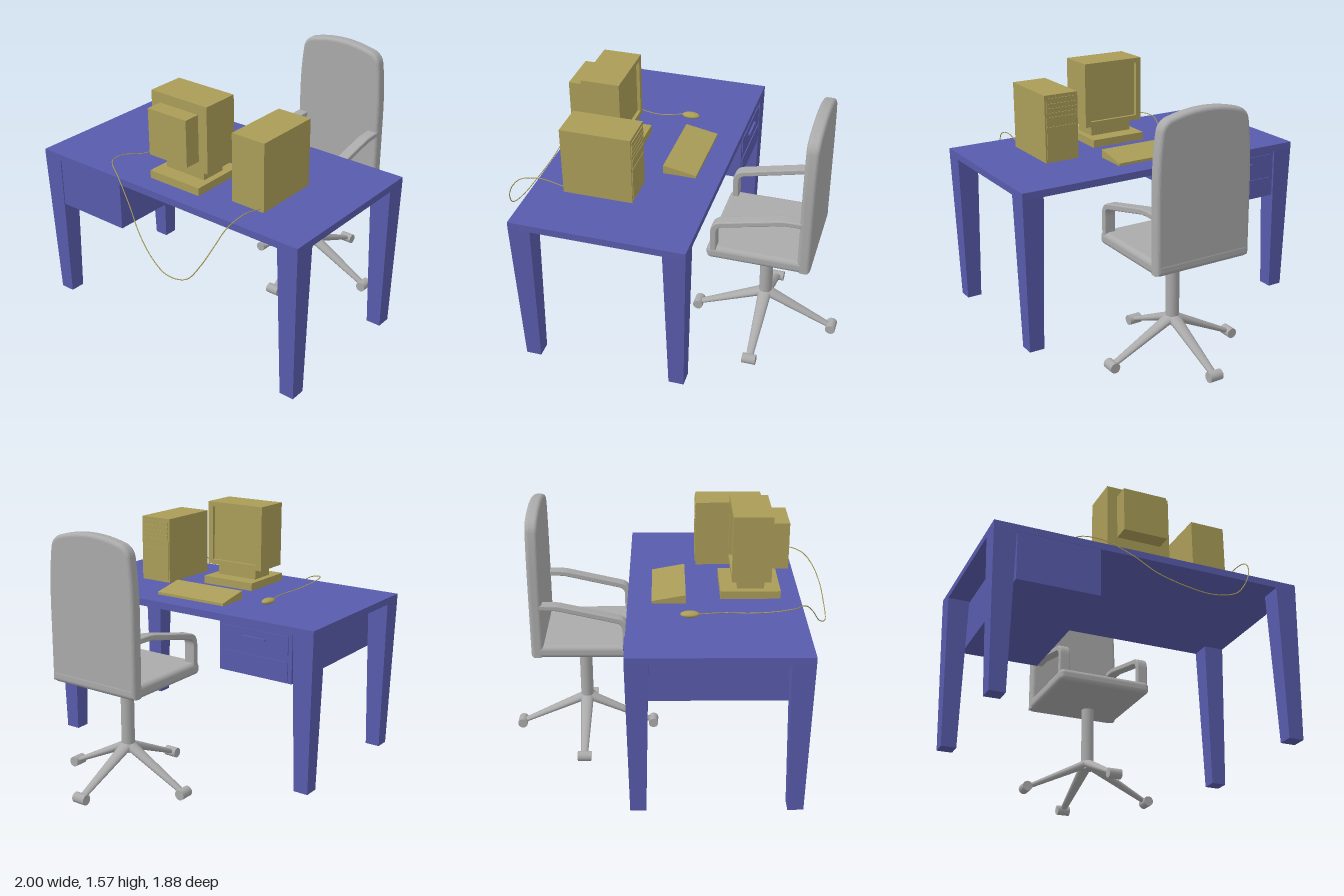
import * as THREE from 'three';
import { RoundedBoxGeometry } from 'three/addons/geometries/RoundedBoxGeometry.js';

const material = (name, color) => {
  const m = new THREE.MeshStandardMaterial({ color });
  m.name = name;
  return m;
};

export function createModel() {
  const blue = material('deskBlue', 0x585bac);
  const gold = material('computerGold', 0xaa9d58);
  const grey = material('chairGrey', 0xaaaaaa);
  const model = new THREE.Group();
  model.name = 'computerDesk';

  const group = (name) => {
    const g = new THREE.Group();
    g.name = name;
    model.add(g);
    return g;
  };
  const add = (parent, name, geometry, mat) => {
    const mesh = new THREE.Mesh(geometry, mat);
    mesh.name = name;
    parent.add(mesh);
    return mesh;
  };
  // Box given by its limits on each axis
  const box = (parent, name, mat, x0, x1, y0, y1, z0, z1) => {
    const mesh = add(parent, name, new THREE.BoxGeometry(x1 - x0, y1 - y0, z1 - z0), mat);
    mesh.position.set((x0 + x1) / 2, (y0 + y1) / 2, (z0 + z1) / 2);
    return mesh;
  };

  // Desk: top, tapered legs, drawer cabinet
  const desk = group('desk');
  box(desk, 'deskTop', blue, -0.762, 0.256, 1.02, 1.062, -0.94, 0.94);
  for (const x of [-0.697, 0.191]) {
    for (const z of [-0.875, 0.875]) {
      const geo = new THREE.BoxGeometry(0.13, 0.935, 0.13);
      const p = geo.attributes.position;
      for (let i = 0; i < p.count; i++) {
        if (p.getY(i) < 0) p.setXYZ(i, p.getX(i) * 0.7, p.getY(i), p.getZ(i) * 0.7);
      }
      geo.computeVertexNormals();
      add(desk, 'deskLeg', geo, blue).position.set(x, 0.5525, z);
    }
  }
  box(desk, 'drawerCabinet', blue, -0.76, 0.25, 0.73, 1.02, -0.805, -0.32);
  box(desk, 'upperDrawer', blue, 0.25, 0.256, 0.895, 1.005, -0.78, -0.34);
  box(desk, 'lowerDrawer', blue, 0.25, 0.256, 0.742, 0.855, -0.78, -0.34);
  box(desk, 'drawerHandle', blue, 0.25, 0.27, 0.951, 0.964, -0.635, -0.48);

  // Monitor: base, neck, case with recessed screen
  const monitor = group('monitor');
  box(monitor, 'monitorBase', gold, -0.645, -0.29, 1.062, 1.11, -0.18, 0.18);
  box(monitor, 'monitorNeck', gold, -0.55, -0.39, 1.11, 1.18, -0.14, 0.14);
  box(monitor, 'monitorCase', gold, -0.585, -0.375, 1.177, 1.577, -0.203, 0.197);
  box(monitor, 'monitorBack', gold, -0.685, -0.585, 1.238, 1.517, -0.14, 0.135);
  box(monitor, 'frameTop', gold, -0.375, -0.355, 1.548, 1.577, -0.203, 0.197);
  box(monitor, 'frameBottom', gold, -0.375, -0.355, 1.177, 1.208, -0.203, 0.197);
  box(monitor, 'frameRight', gold, -0.375, -0.355, 1.208, 1.548, -0.203, -0.168);
  box(monitor, 'frameLeft', gold, -0.375, -0.355, 1.208, 1.548, 0.162, 0.197);

  // Tower with drive bays
  const tower = group('tower');
  box(tower, 'towerCase', gold, -0.573, -0.16, 1.062, 1.472, 0.36, 0.578);
  for (const [y0, y1] of [[1.425, 1.452], [1.397, 1.42], [1.37, 1.392], [1.343, 1.365], [1.285, 1.338], [1.08, 1.28]]) {
    box(tower, 'towerPanel', gold, -0.16, -0.155, y0, y1, 0.37, 0.568);
  }

  // Keyboard wedge
  const keyShape = new THREE.Shape([[-0.085, 1.062], [0.115, 1.062], [0.115, 1.078], [-0.085, 1.115]]
    .map(([x, y]) => new THREE.Vector2(x, y)));
  add(model, 'keyboard', new THREE.ExtrudeGeometry(keyShape, { depth: 0.485, bevelEnabled: false }), gold)
    .position.z = -0.245;

  // Mouse and its hanging cable
  const mouse = add(model, 'mouse', new THREE.SphereGeometry(1, 20, 12), gold);
  mouse.scale.set(0.056, 0.018, 0.032);
  mouse.position.set(-0.105, 1.075, -0.42);
  const cablePath = new THREE.CatmullRomCurve3([
    [-0.155, 1.075, -0.42], [-0.3, 1.068, -0.387], [-0.45, 1.075, -0.41], [-0.6, 1.105, -0.455],
    [-0.7, 1.11, -0.43], [-0.775, 1.075, -0.31], [-0.845, 0.97, -0.16], [-0.9, 0.86, -0.04],
    [-0.96, 0.775, 0.12], [-0.99, 0.745, 0.25], [-0.995, 0.78, 0.39], [-0.975, 0.88, 0.47],
    [-0.92, 1.0, 0.525], [-0.85, 1.075, 0.545], [-0.72, 1.11, 0.558], [-0.58, 1.085, 0.56],
  ].map((p) => new THREE.Vector3(...p)));
  add(model, 'mouseCable', new THREE.TubeGeometry(cablePath, 120, 0.003, 6), gold);

  // Chair: seat and backrest
  const chair = group('chair');
  const cx = 0.54, cz = 0.142;
  add(chair, 'seat', new RoundedBoxGeometry(0.615, 0.08, 0.615, 4, 0.03), grey).position.set(0.54, 0.702, cz - 0.002);
  const back = new THREE.Shape();
  back.moveTo(-0.285, 0.69);
  back.lineTo(0.285, 0.69);
  back.lineTo(0.285, 1.1);
  back.quadraticCurveTo(0.285, 1.32, 0.262, 1.46);
  back.quadraticCurveTo(0.255, 1.495, 0.22, 1.51);
  back.quadraticCurveTo(0, 1.575, -0.22, 1.51);
  back.quadraticCurveTo(-0.255, 1.495, -0.262, 1.46);
  back.quadraticCurveTo(-0.285, 1.32, -0.285, 1.1);
  const backGeo = new THREE.ExtrudeGeometry(back, {
    depth: 0.03, bevelThickness: 0.023, bevelSize: 0.022, bevelSegments: 5, curveSegments: 12,
  });
  const backrest = add(chair, 'backrest', backGeo, grey);
  backrest.rotation.y = Math.PI / 2;
  backrest.position.set(0.793, 0, cz - 0.002);

  // Armrests: bent bands on both sides
  const arm = new THREE.Shape();
  arm.moveTo(0.262, 0.72);
  arm.lineTo(0.262, 0.85);
  arm.quadraticCurveTo(0.262, 0.908, 0.315, 0.92);
  arm.lineTo(0.66, 0.999);
  arm.quadraticCurveTo(0.69, 1.005, 0.79, 1.005);
  arm.lineTo(0.79, 0.985);
  arm.quadraticCurveTo(0.69, 0.985, 0.67, 0.98);
  arm.lineTo(0.325, 0.9);
  arm.quadraticCurveTo(0.286, 0.89, 0.286, 0.845);
  arm.lineTo(0.286, 0.72);
  const armGeo = new THREE.ExtrudeGeometry(arm, {
    depth: 0.05, bevelThickness: 0.01, bevelSize: 0.007, bevelSegments: 3, curveSegments: 8,
  });
  for (const z of [-0.155, 0.385]) add(chair, 'armrest', armGeo, grey).position.z = z;

  // Column and four-legged base with castors
  add(chair, 'column', new THREE.CylinderGeometry(0.04, 0.04, 0.41, 24), grey).position.set(cx, 0.405, cz);
  for (let i = 0; i < 4; i++) {
    const spoke = new THREE.Group();
    spoke.name = 'baseSpoke';
    spoke.position.set(cx, 0, cz);
    spoke.rotation.y = i * Math.PI / 2;
    chair.add(spoke);
    const along = i % 2 === 0;
    const reach = along ? 0.427 : 0.412;
    const footY = along ? 0.048 : 0.034;
    const from = new THREE.Vector3(0, 0.245, 0);
    const to = new THREE.Vector3(reach, footY, 0);
    const dir = to.clone().sub(from);
    const leg = add(spoke, 'baseLeg', new THREE.CylinderGeometry(0.014, 0.028, dir.length(), 16), grey);
    leg.scale.z = 1.5;
    leg.position.copy(from).addScaledVector(dir, 0.5);
    leg.rotation.z = Math.atan2(dir.y, dir.x) - Math.PI / 2;
    const castor = add(spoke, 'castor', new THREE.CylinderGeometry(0.031, 0.031, 0.082, 20), grey);
    castor.rotation.x = Math.PI / 2;
    castor.position.copy(to);
  }
  return model;
}
